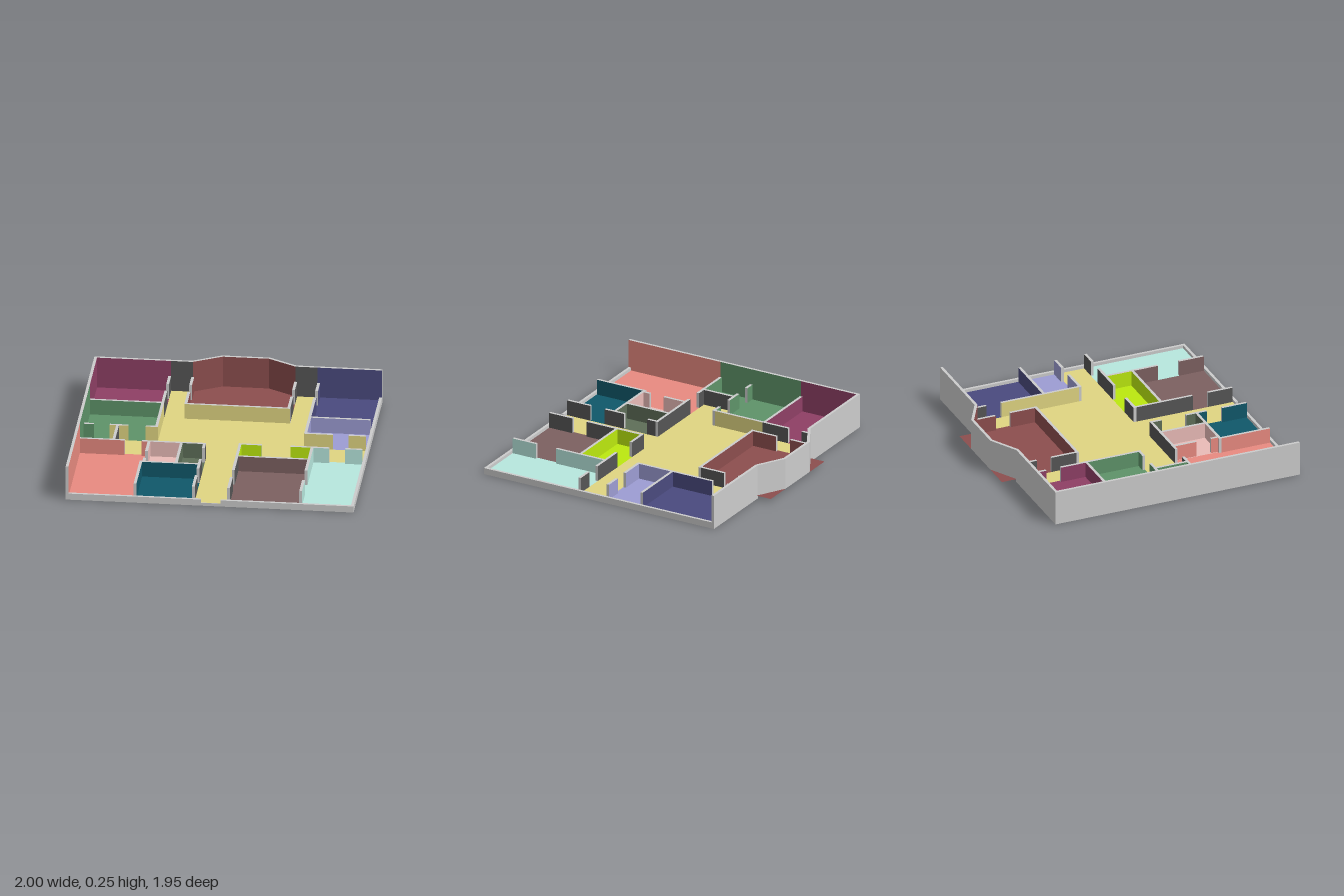
import * as THREE from 'three';

const C = {
  grey: 0xcccccc, dark: 0x555555, hall: 0xe0d581, salmon: 0xe88a80, green: 0x5e9369,
  purple: 0x8e3f65, brown: 0x8c4e4e, navy: 0x4a4a7e, lilac: 0x9c9cd3, cyan: 0xb7e7de,
  lime: 0xbbe80f, mauve: 0x7c6060, teal: 0x10586a, pink: 0xe9bbb7, olive: 0x5e6e58,
};
const FLOOR = 0.024, LOW = 0.046, MID = 0.135, TALL = 0.25, T = 0.02;

export function createModel() {
  const model = new THREE.Group();
  model.name = 'floorPlan';
  const mats = {};
  for (const k in C) mats[k] = new THREE.MeshStandardMaterial({ color: C[k] });

  // Box between two corners; sides lists the paint on -x, +x, -z, +z
  function box(name, x0, x1, y0, y1, z0, z1, sides = {}) {
    const m = (k) => mats[sides[k] || 'grey'];
    const mesh = new THREE.Mesh(
      new THREE.BoxGeometry(x1 - x0, y1 - y0, z1 - z0),
      [m('px'), m('nx'), mats.grey, mats.grey, m('pz'), m('nz')]);
    mesh.position.set((x0 + x1) / 2, (y0 + y1) / 2, (z0 + z1) / 2);
    mesh.name = name;
    model.add(mesh);
  }
  // Interior wall running along z, or along x, with the paint of its two sides
  const wallZ = (x, z0, z1, nx, px) =>
    box('innerWall', x, x + T, FLOOR - 0.002, MID, z0, z1, { nx, px });
  const wallX = (z, x0, x1, nz, pz) =>
    box('innerWall', x0, x1, FLOOR - 0.002, MID, z, z + T, { nz, pz });

  // Floors: room, x0, x1, z0, z1
  const floors = [
    ['purple', -0.99, -0.465, -0.855, -0.405],
    ['green', -0.99, -0.465, -0.405, 0.005],
    ['green', -0.99, -0.735, 0.005, 0.23],
    ['salmon', -0.99, -0.515, 0.23, 0.965],
    ['pink', -0.515, -0.27, 0.23, 0.58],
    ['olive', -0.27, -0.105, 0.23, 0.58],
    ['teal', -0.515, -0.105, 0.58, 0.965],
    ['hall', -0.465, -0.325, -0.855, -0.395],
    ['hall', 0.41, 0.55, -0.855, -0.395],
    ['hall', -0.465, 0.55, -0.395, 0.005],
    ['hall', -0.735, 0.99, 0.005, 0.21],
    ['hall', -0.735, -0.105, 0.21, 0.23],
    ['hall', -0.105, 0.12, 0.21, 0.975],
    ['brown', -0.325, 0.41, -0.975, -0.395],
    ['navy', 0.55, 0.99, -0.855, -0.27],
    ['lilac', 0.55, 0.99, -0.27, 0.005],
    ['lime', 0.12, 0.62, 0.21, 0.42],
    ['mauve', 0.12, 0.62, 0.42, 0.965],
    ['cyan', 0.62, 0.99, 0.21, 0.965],
  ];
  for (const [room, x0, x1, z0, z1] of floors) {
    const material = mats[room].clone();
    material.side = THREE.DoubleSide;
    const floor = new THREE.Mesh(new THREE.PlaneGeometry(x1 - x0, z1 - z0), material);
    floor.rotation.x = -Math.PI / 2;
    floor.position.set((x0 + x1) / 2, FLOOR, (z0 + z1) / 2);
    floor.name = room + 'Floor';
    model.add(floor);
  }

  // Tall outer walls on the -x side and the back
  for (const [z0, z1, px] of [[-0.865, -0.405, 'purple'], [-0.405, 0.24, 'green'], [0.24, 0.975, 'salmon']])
    box('tallSideWall', -1, -0.98, 0, TALL, z0, z1, { px });
  for (const [x0, x1, pz] of [[-0.98, -0.465, 'purple'], [-0.465, -0.315, 'dark'],
    [0.4, 0.55, 'dark'], [0.55, 1, 'navy']])
    box('tallBackWall', x0, x1, 0, TALL, -0.865, -0.845, { pz });

  // Angled bay at the back
  const bay = [[-0.32, -0.855], [-0.12, -0.965], [0.205, -0.965], [0.4, -0.855]];
  for (let i = 0; i < 3; i++) {
    const [ax, az] = bay[i], [bx, bz] = bay[i + 1];
    const g = mats.grey;
    const wall = new THREE.Mesh(
      new THREE.BoxGeometry(Math.hypot(bx - ax, bz - az) + 0.005, TALL - FLOOR, T),
      [g, g, g, g, mats.brown, g]);
    wall.position.set((ax + bx) / 2, (TALL + FLOOR) / 2, (az + bz) / 2);
    wall.rotation.y = -Math.atan2(bz - az, bx - ax);
    wall.name = 'bayWall';
    model.add(wall);
  }

  // Low outer walls on the +x side and the front, with the entrance sill
  box('lowSideWall', 0.98, 1, 0, LOW, -0.845, 0.975);
  box('lowFrontWall', -0.98, -0.06, 0, LOW, 0.955, 0.975);
  box('lowFrontWall', 0.075, 0.98, 0, LOW, 0.955, 0.975);
  box('entranceSill', -0.06, 0.075, 0, FLOOR - 0.002, 0.955, 0.975);

  // Back rooms, with doorways at z -0.71 to -0.60
  wallZ(-0.485, -0.845, -0.71, 'purple', 'dark');
  wallZ(-0.485, -0.6, -0.395, 'purple', 'dark');
  wallZ(-0.485, -0.395, -0.015, 'green', 'hall');
  wallX(-0.415, -0.98, -0.485, 'purple', 'green');
  for (const [z0, z1] of [[-0.85, -0.71], [-0.6, -0.415]]) {
    wallZ(-0.325, z0, z1, 'dark', 'brown');
    wallZ(0.39, z0, z1, 'brown', 'dark');
  }
  wallX(-0.415, -0.325, 0.41, 'brown', 'hall');
  wallZ(0.55, -0.845, -0.71, 'dark', 'navy');
  wallZ(0.55, -0.6, -0.27, 'hall', 'navy');
  wallZ(0.55, -0.27, -0.015, 'hall', 'lilac');
  wallX(-0.285, 0.57, 0.98, 'navy', 'lilac');
  for (const [x0, x1] of [[0.55, 0.75], [0.86, 0.98]]) wallX(-0.015, x0, x1, 'lilac', 'hall');

  // Green room and its annex
  wallX(-0.015, -0.98, -0.91, 'green', 'green');
  wallX(-0.015, -0.8, -0.67, 'green', 'hall');
  wallX(-0.015, -0.55, -0.465, 'green', 'hall');
  wallZ(-0.755, 0.005, 0.23, 'green', 'dark');

  // Front rooms on the -x side
  wallX(0.23, -0.98, -0.755, 'green', 'salmon');
  wallX(0.23, -0.755, -0.67, 'dark', 'salmon');
  wallX(0.23, -0.55, -0.51, 'dark', 'salmon');
  wallX(0.23, -0.51, -0.27, 'dark', 'pink');
  wallX(0.23, -0.27, -0.105, 'dark', 'olive');
  wallZ(-0.51, 0.25, 0.41, 'salmon', 'pink');
  wallZ(-0.51, 0.52, 0.57, 'salmon', 'pink');
  wallZ(-0.285, 0.25, 0.57, 'pink', 'olive');
  wallX(0.57, -0.53, -0.27, 'pink', 'teal');
  wallX(0.57, -0.27, -0.125, 'olive', 'teal');
  wallZ(-0.53, 0.59, 0.955, 'salmon', 'teal');
  wallZ(-0.125, 0.25, 0.315, 'olive', 'dark');
  wallZ(-0.125, 0.5, 0.57, 'olive', 'dark');
  wallZ(-0.125, 0.57, 0.655, 'teal', 'dark');
  wallZ(-0.125, 0.77, 0.955, 'teal', 'dark');

  // Front rooms on the +x side
  wallX(0.21, 0.12, 0.28, 'dark', 'lime');
  wallX(0.21, 0.48, 0.63, 'dark', 'lime');
  wallX(0.21, 0.63, 0.75, 'dark', 'cyan');
  wallX(0.21, 0.86, 0.98, 'dark', 'cyan');
  wallZ(0.12, 0.23, 0.42, 'dark', 'lime');
  wallZ(0.12, 0.42, 0.655, 'dark', 'dark');
  wallZ(0.12, 0.77, 0.955, 'dark', 'dark');
  wallX(0.41, 0.14, 0.62, 'lime', 'mauve');
  wallZ(0.62, 0.23, 0.42, 'lime', 'cyan');
  wallZ(0.62, 0.42, 0.61, 'mauve', 'cyan');
  wallZ(0.62, 0.77, 0.955, 'mauve', 'cyan');

  return model;
}
